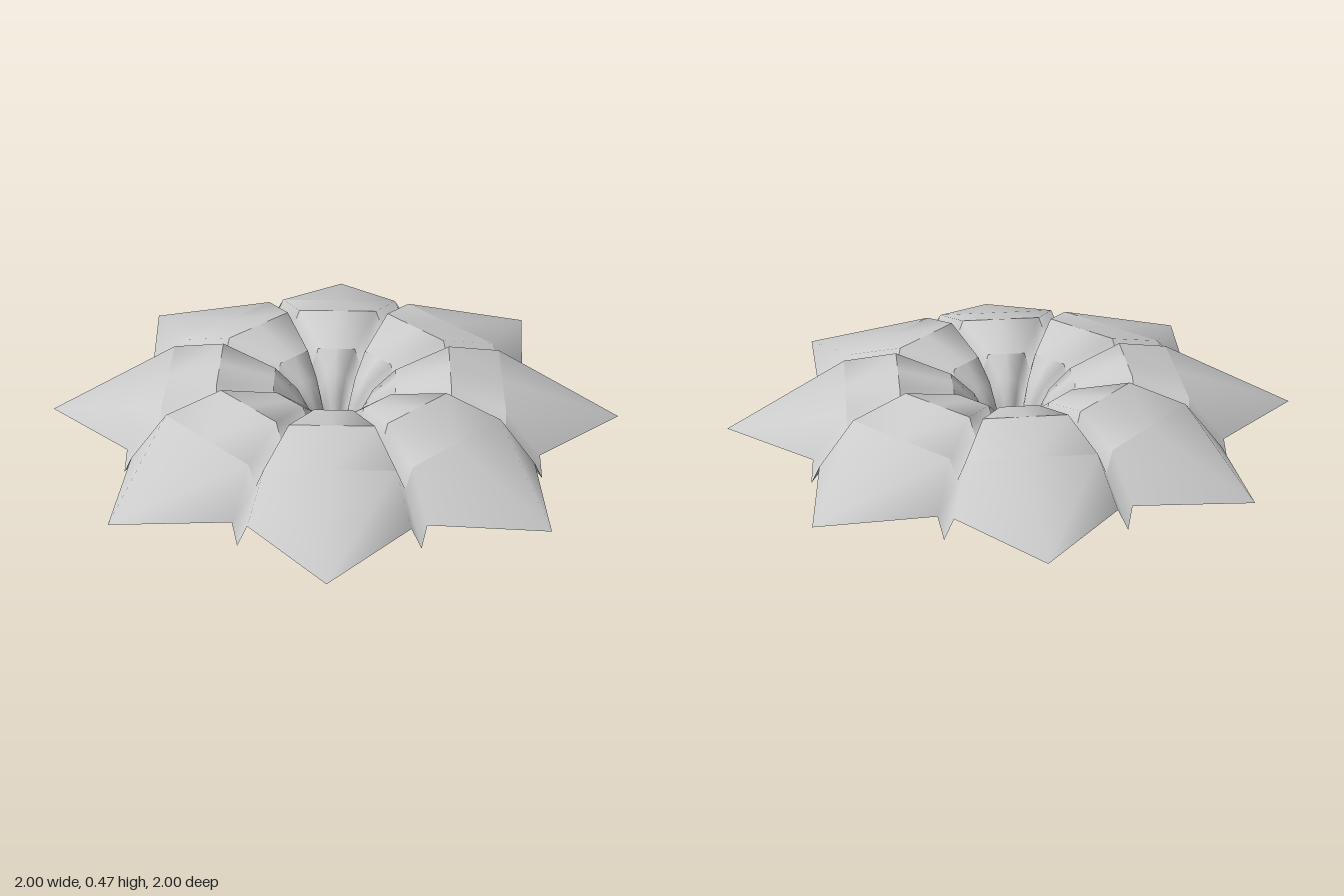
import * as THREE from 'three';

const PETALS = 8;
const TURN = THREE.MathUtils.degToRad(5.4);
const HALF = Math.PI / PETALS;

// Cross-section rings from the throat outwards:
// r = corner radius, y = petal height, w = half width of the crease,
// vr, vy = radius and height of the crease bottom, mid = radius on the petal axis
const RINGS = [
  { r: 0.045, y: 0.05, w: 0.012, vr: 0.05, vy: 0 },
  { r: 0.10, y: 0.27, w: 0.018, vr: 0.10, vy: 0.2 },
  { r: 0.145, y: 0.345, w: 0.02, vr: 0.155, vy: 0.265 },
  { r: 0.23, y: 0.41, w: 0.022, vr: 0.23, vy: 0.34 },
  { r: 0.435, y: 0.465, w: 0.025, vr: 0.435, vy: 0.395 },
  { r: 0.635, y: 0.412, w: 0.03, vr: 0.635, vy: 0.34 },
  { r: 0.765, y: 0.27, w: 0.03, vr: 0.775, vy: 0.2, mid: 1.004 },
];

// One closed ring: crease edge, petal axis, crease edge, crease bottom for every petal
function ringPoints({ r, y, w, vr, vy, mid }) {
  const along = r * Math.cos(HALF);
  const side = r * Math.sin(HALF) - w;
  const local = [
    [along, y, -side],
    [mid ?? along, y, 0],
    [along, y, side],
    [vr * Math.cos(HALF), vy, vr * Math.sin(HALF)],
  ];
  const points = [];
  for (let k = 0; k < PETALS; k++) {
    const a = TURN + k * 2 * HALF;
    const c = Math.cos(a), s = Math.sin(a);
    for (const [u, h, v] of local) points.push(u * c - v * s, h, u * s + v * c);
  }
  return points;
}

// Skin a run of rings; normals are smooth inside the run and sharp at its ends
function band(name, rings, material) {
  const n = PETALS * 4;
  const index = [];
  for (let i = 0; i < rings.length - 1; i++) {
    for (let j = 0; j < n; j++) {
      const a = i * n + j, b = i * n + (j + 1) % n;
      // mirror the diagonals on either side of the petal axis
      if (j % 4 === 0 || j % 4 === 3) index.push(a, b, b + n, a, b + n, a + n);
      else index.push(a, b, a + n, b, b + n, a + n);
    }
  }
  const geometry = new THREE.BufferGeometry();
  geometry.setAttribute('position', new THREE.Float32BufferAttribute(rings.flatMap(ringPoints), 3));
  geometry.setIndex(index);
  geometry.computeVertexNormals();
  const mesh = new THREE.Mesh(geometry, material);
  mesh.name = name;
  return mesh;
}

export function createModel() {
  const material = new THREE.MeshStandardMaterial({ color: 0xcccccc, side: THREE.DoubleSide });
  const flower = new THREE.Group();
  flower.name = 'flower';
  flower.add(
    band('funnel', RINGS.slice(0, 4), material),
    band('throat', RINGS.slice(3, 5), material),
    band('shoulder', RINGS.slice(4, 6), material),
    band('petalTips', RINGS.slice(5, 7), material),
  );
  return flower;
}
